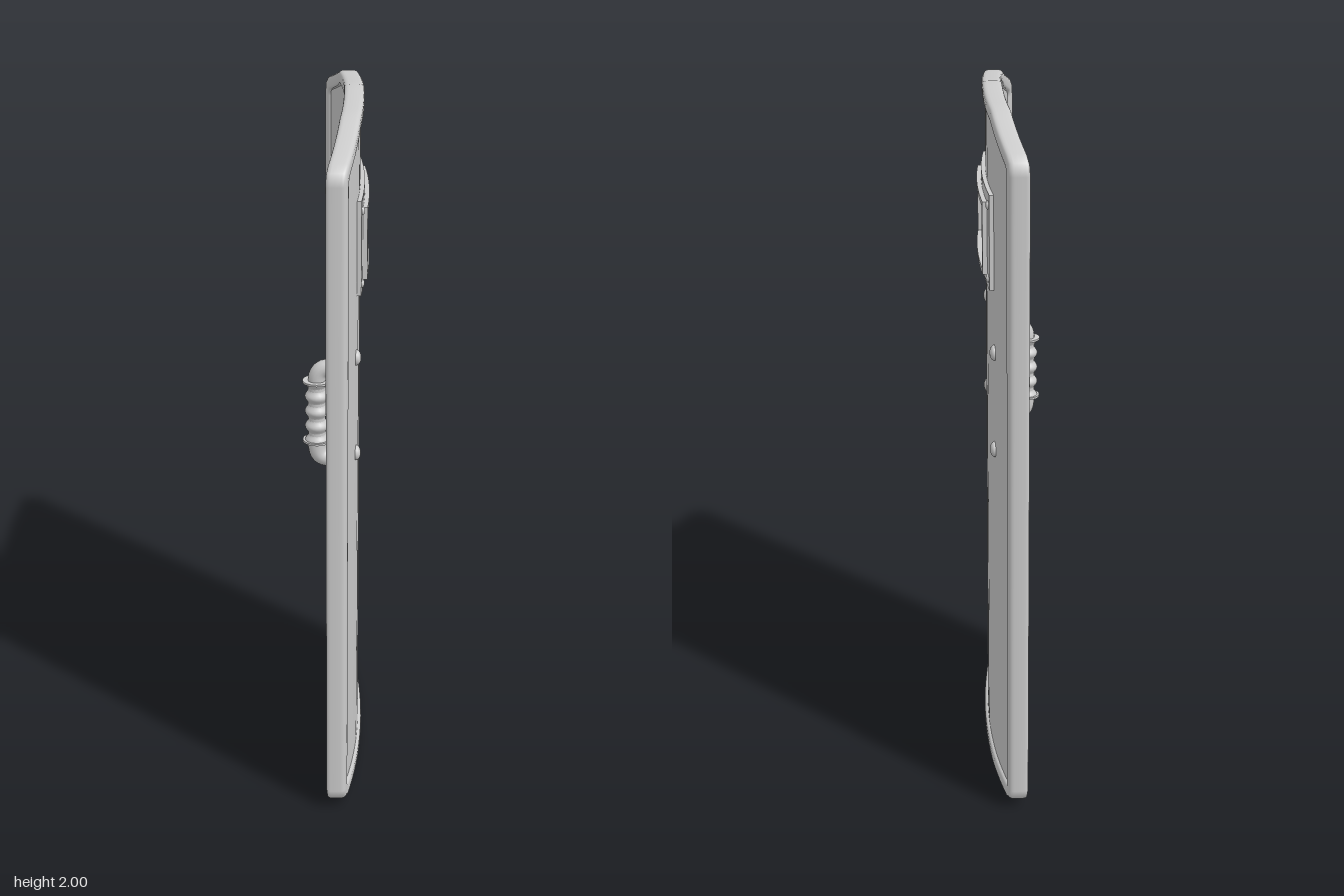
import * as THREE from 'three';

const mat = new THREE.MeshStandardMaterial({ color: 0xcccccc, roughness: 0.7 });
const matDouble = new THREE.MeshStandardMaterial({ color: 0xcccccc, roughness: 0.7, side: THREE.DoubleSide });

// Mid-surface of the curved shield: x as a function of z
const curve = z => 0.048 - 0.208 * z * z;

function add(parent, name, geometry, material = mat) {
  const mesh = new THREE.Mesh(geometry, material);
  mesh.name = name;
  parent.add(mesh);
  return mesh;
}

// Block bent along the shield; x0..x1 is depth from the mid-surface, y limits may vary with z
function slab(z0, z1, low, high, x0, x1) {
  const lo = typeof low === 'function' ? low : () => low;
  const hi = typeof high === 'function' ? high : () => high;
  const segments = Math.max(2, Math.round((z1 - z0) / 0.04));
  const g = new THREE.BoxGeometry(1, 1, 1, 1, 1, segments);
  const p = g.attributes.position;
  for (let i = 0; i < p.count; i++) {
    const z = z0 + (p.getZ(i) + 0.5) * (z1 - z0);
    const y = lo(z) + (p.getY(i) + 0.5) * (hi(z) - lo(z));
    p.setXYZ(i, curve(z) + x0 + (p.getX(i) + 0.5) * (x1 - x0), y, z);
  }
  g.computeVertexNormals();
  return g;
}

// Four bent bars around a rectangular opening
function frame(parent, name, outer, inner, x0, x1) {
  const [oz, oy0, oy1] = outer, [iz, iy0, iy1] = inner;
  add(parent, name + 'Bottom', slab(-oz, oz, oy0, iy0, x0, x1));
  add(parent, name + 'Top', slab(-oz, oz, iy1, oy1, x0, x1));
  add(parent, name + 'Left', slab(iz, oz, iy0, iy1, x0, x1));
  add(parent, name + 'Right', slab(-oz, -iz, iy0, iy1, x0, x1));
}

// Domed rivet sitting on either face
function rivet(parent, name, y, z, depth, radius, height) {
  const mesh = add(parent, name, new THREE.SphereGeometry(radius, 16, 10));
  mesh.scale.x = height / radius;
  mesh.position.set(curve(z) + depth, y, z);
}

// Rounded edge band swept round the outline
function rimGeometry() {
  const half = [[0, 0], [0.25, 0.004], [0.46, 0.02], [0.493, 0.034], [0.505, 0.065],
    [0.505, 1.86], [0.494, 1.894], [0.465, 1.912], [0.25, 1.98], [0, 2]];
  const corners = half.concat(half.slice(1, -1).reverse().map(([z, y]) => [-z, y]));
  const path = [];
  corners.forEach((a, i) => {
    const b = corners[(i + 1) % corners.length];
    const n = Math.max(1, Math.ceil(Math.abs(b[0] - a[0]) / 0.05));
    for (let k = 0; k < n; k++) {
      path.push([a[0] + (b[0] - a[0]) * k / n, a[1] + (b[1] - a[1]) * k / n]);
    }
  });
  const sides = 24, n = path.length, positions = [], index = [];
  const squash = v => Math.sign(v) * Math.pow(Math.abs(v), 0.5);
  for (let i = 0; i < n; i++) {
    const p = path[i], a = path[(i + n - 1) % n], b = path[(i + 1) % n];
    const d1 = new THREE.Vector2(p[0] - a[0], p[1] - a[1]).normalize();
    const d2 = new THREE.Vector2(b[0] - p[0], b[1] - p[1]).normalize();
    const t = d1.clone().add(d2).normalize();
    const miter = 1 / Math.max(0.5, t.dot(d1));
    const nz = t.y * miter, ny = -t.x * miter;
    for (let j = 0; j < sides; j++) {
      const angle = j / sides * Math.PI * 2;
      const out = 0.021 * (squash(Math.cos(angle)) - 1);
      const z = p[0] + nz * out;
      positions.push(curve(z) + 0.028 * squash(Math.sin(angle)), p[1] + ny * out, z);
      const k = (j + 1) % sides, m = (i + 1) % n;
      const q = [i * sides + j, m * sides + j, m * sides + k, i * sides + k];
      index.push(q[0], q[2], q[1], q[0], q[3], q[2]);
    }
  }
  const g = new THREE.BufferGeometry();
  g.setAttribute('position', new THREE.Float32BufferAttribute(positions, 3));
  g.setIndex(index);
  g.computeVertexNormals();
  return g;
}

export function createModel() {
  const model = new THREE.Group();
  model.name = 'shield';
  const group = name => {
    const g = new THREE.Group();
    g.name = name;
    model.add(g);
    return g;
  };

  // Panel, split around the window opening
  const top = z => {
    const a = Math.abs(z);
    return a < 0.24 ? 1.975 - 0.02 * a / 0.24 : 1.955 - (a - 0.24) * 0.32;
  };
  const bottom = z => 0.02 + Math.max(0, Math.abs(z) - 0.24) * 0.06;
  const panel = group('panel');
  const T = 0.018;
  add(panel, 'panelLower', slab(-0.48, 0.48, bottom, 1.52, -T, T));
  add(panel, 'panelUpper', slab(-0.48, 0.48, 1.705, top, -T, T));
  for (const s of [-1, 1]) {
    add(panel, 'panelBesideWindow',
      slab(s > 0 ? 0.19 : -0.48, s > 0 ? 0.48 : -0.19, 1.52, 1.705, -T, T));
  }
  add(model, 'rim', rimGeometry(), matDouble);

  // Window: glass with a screwed frame and raised lip on both faces
  const viewport = group('window');
  add(viewport, 'glass', slab(-0.192, 0.192, 1.518, 1.707, -0.008, 0.012));
  const outer = [0.245, 1.48, 1.745], lip = [0.2, 1.512, 1.715], hole = [0.186, 1.526, 1.701];
  frame(viewport, 'frontFrame', outer, hole, T - 0.004, 0.03);
  frame(viewport, 'frontLip', lip, hole, 0.026, 0.043);
  frame(viewport, 'backFrame', outer, hole, -0.03, -T + 0.004);
  frame(viewport, 'backLip', lip, hole, -0.038, -0.026);
  for (const depth of [0.03, -0.03]) {
    for (const z of [-0.22, 0.22]) {
      for (const y of [1.508, 1.712]) rivet(viewport, 'frameScrew', y, z, depth, 0.012, 0.007);
    }
  }

  // Flat arm plate standing off the back, held by four riveted tabs
  const plate = group('armPlate');
  add(plate, 'plate', new THREE.BoxGeometry(0.007, 0.34, 0.49)).position.set(-0.001, 1.162, 0);
  for (const s of [-1, 1]) {
    for (const y of [1.02, 1.305]) {
      const z0 = s > 0 ? 0.24 : -0.31;
      add(plate, 'tab', slab(z0, z0 + 0.07, y - 0.027, y + 0.027, -0.026, -T + 0.002));
      add(plate, 'tabWeb', new THREE.BoxGeometry(0.02, 0.054, 0.008)).position.set(0.005, y, s * 0.242);
      rivet(plate, 'backRivet', y, s * 0.28, -0.026, 0.014, 0.007);
      rivet(model, 'frontRivet', y, s * 0.253, T, 0.022, 0.014);
    }
  }

  // Handle: bent bar with a ribbed grip between two thin collars
  const handle = group('handle');
  handle.position.z = 0.165;
  const bar = new THREE.CurvePath();
  const v = (x, y) => new THREE.Vector3(x, y, 0);
  bar.add(new THREE.LineCurve3(v(0, 1.24), v(-0.02, 1.24)));
  bar.add(new THREE.QuadraticBezierCurve3(v(-0.02, 1.24), v(-0.056, 1.24), v(-0.056, 1.2)));
  bar.add(new THREE.LineCurve3(v(-0.056, 1.2), v(-0.056, 1.005)));
  bar.add(new THREE.QuadraticBezierCurve3(v(-0.056, 1.005), v(-0.056, 0.965), v(-0.02, 0.965)));
  bar.add(new THREE.LineCurve3(v(-0.02, 0.965), v(0, 0.965)));
  add(handle, 'bar', new THREE.TubeGeometry(bar, 60, 0.025, 16));
  const ribs = [];
  for (let i = 0; i <= 40; i++) {
    ribs.push(new THREE.Vector2(0.029 + 0.005 * Math.cos(i / 40 * Math.PI * 8), 1.02 + 0.18 * i / 40));
  }
  add(handle, 'grip', new THREE.LatheGeometry(ribs, 20)).position.x = -0.056;
  for (const y of [1.02, 1.2]) {
    add(handle, 'collar', new THREE.CylinderGeometry(0.04, 0.04, 0.006, 24)).position.set(-0.056, y, 0);
  }

  return model;
}
